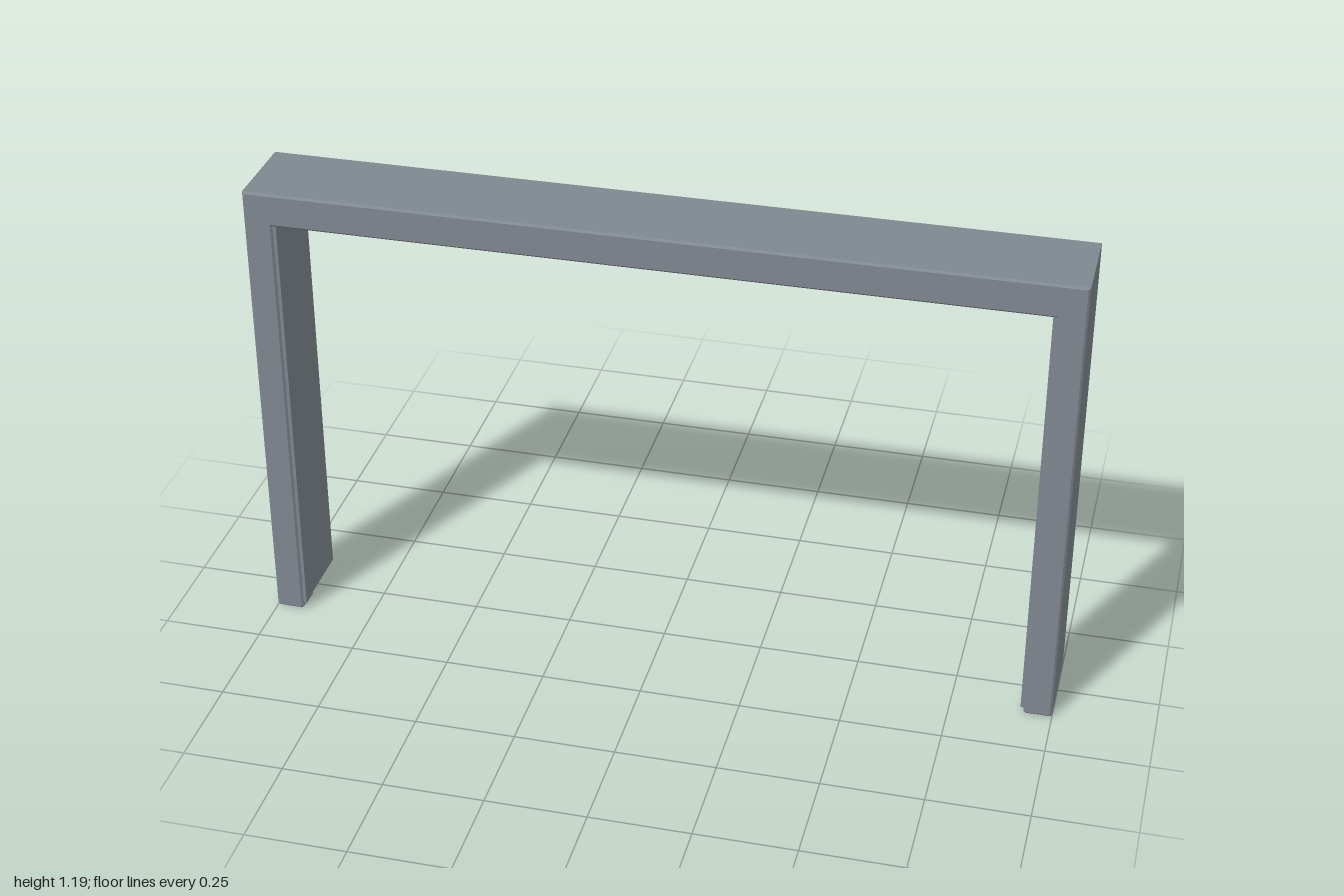
import * as THREE from 'three';

const HEIGHT = 1.187, DEPTH = 0.23, INNER_X = 0.93, INNER_Y = 1.103, BEVEL = 0.005;

export function createModel() {
  const model = new THREE.Group();
  model.name = 'portalFrame';
  const grey = new THREE.MeshStandardMaterial({ color: 0x808890, flatShading: true });
  grey.name = 'slate grey';

  // U-shaped frame: two legs and a lintel, with chamfered edges and feet
  const half = [
    [INNER_X, INNER_Y], [INNER_X, BEVEL], [INNER_X + BEVEL, 0],
    [1 - BEVEL, 0], [1, BEVEL], [1, HEIGHT],
  ];
  const mirrored = half.map(([x, y]) => [-x, y]).reverse();
  const outline = new THREE.Shape([...half, ...mirrored].map(([x, y]) => new THREE.Vector2(x, y)));
  const frameGeometry = new THREE.ExtrudeGeometry(outline, {
    depth: DEPTH - 2 * BEVEL,
    bevelEnabled: true,
    bevelSegments: 1,
    bevelSize: BEVEL,
    bevelThickness: BEVEL,
    bevelOffset: -BEVEL,
  });
  frameGeometry.translate(0, 0, BEVEL - DEPTH / 2);
  const frame = new THREE.Mesh(frameGeometry, grey);
  frame.name = 'frame';
  model.add(frame);

  // Thin stop strips along the front of each leg's inner face
  const bottom = 0.015, width = 0.045;
  for (const side of [-1, 1]) {
    const strip = new THREE.Mesh(new THREE.BoxGeometry(0.012, INNER_Y - bottom, width), grey);
    strip.position.set(side * (INNER_X - 0.002), (INNER_Y + bottom) / 2, DEPTH / 2 - BEVEL - width / 2);
    strip.name = side > 0 ? 'leftStopStrip' : 'rightStopStrip';
    model.add(strip);
  }
  return model;
}
